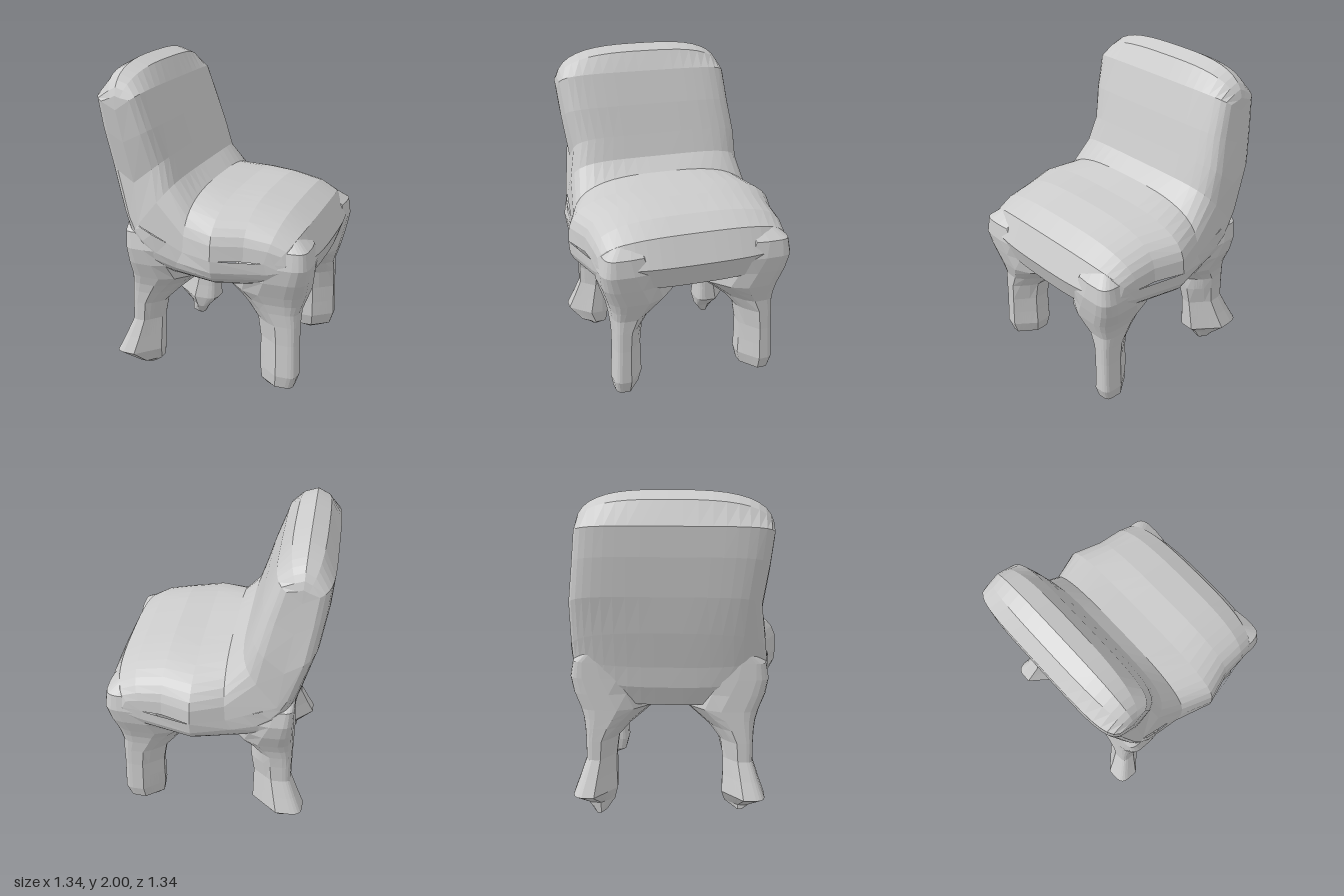
import * as THREE from 'three';

const material = new THREE.MeshStandardMaterial({ color: 0xcccccc, flatShading: true });
const power = (v, n) => Math.sign(v) * Math.pow(Math.abs(v), 2 / n);

// Joins a row of closed rings of [x, y, z] points; the end rings are already collapsed.
function skin(name, rings, flip) {
  const count = rings[0].length, index = [];
  const face = (a, b, c) => (flip ? index.push(a, c, b) : index.push(a, b, c));
  for (let i = 0; i < rings.length - 1; i++) {
    for (let j = 0; j < count; j++) {
      const a = i * count + j, b = i * count + ((j + 1) % count);
      face(a, b, a + count);
      face(b, b + count, a + count);
    }
  }
  let geometry = new THREE.BufferGeometry();
  geometry.setAttribute('position', new THREE.Float32BufferAttribute(rings.flat(2), 3));
  geometry.setIndex(index);
  geometry = geometry.toNonIndexed();
  geometry.computeVertexNormals();
  const mesh = new THREE.Mesh(geometry, material);
  mesh.name = name;
  return mesh;
}

// Seat and backrest: one L-shaped side profile that shrinks towards its centre line at both sides.
// Each row: profile x, y; centre-line x, y; reach towards +z and -z there.
const PROFILE = [
  [0.1, 0.69, 0.1, 0.93, 0.67, 0.67], [0.45, 0.715, 0.4, 0.93, 0.6, 0.6],
  [0.62, 0.79, 0.46, 0.93, 0.59, 0.59], [0.667, 0.93, 0.46, 0.93, 0.59, 0.59],
  [0.59, 1.095, 0.46, 0.93, 0.59, 0.59], [0.47, 1.17, 0.4, 0.93, 0.6, 0.6],
  [0.28, 1.215, 0.28, 0.93, 0.61, 0.61], [0.1, 1.222, 0.1, 0.93, 0.67, 0.67],
  [-0.08, 1.25, -0.1, 0.93, 0.6, 0.6], [-0.17, 1.33, -0.4, 1.05, 0.57, 0.58],
  [-0.215, 1.47, -0.43, 1.3, 0.535, 0.575], [-0.27, 1.65, -0.47, 1.55, 0.57, 0.545],
  [-0.34, 1.85, -0.5, 1.74, 0.59, 0.525], [-0.41, 1.965, -0.5, 1.74, 0.59, 0.525],
  [-0.51, 2.0, -0.5, 1.74, 0.59, 0.525], [-0.6, 1.955, -0.5, 1.74, 0.59, 0.525],
  [-0.668, 1.82, -0.5, 1.74, 0.59, 0.525], [-0.655, 1.65, -0.47, 1.55, 0.57, 0.545],
  [-0.62, 1.42, -0.43, 1.3, 0.535, 0.575], [-0.575, 1.2, -0.4, 1.05, 0.57, 0.58],
  [-0.52, 0.98, -0.37, 1.04, 0.58, 0.58], [-0.5, 0.85, -0.3, 1.01, 0.59, 0.59],
  [-0.45, 0.725, -0.2, 0.97, 0.59, 0.59], [-0.22, 0.695, -0.1, 0.93, 0.6, 0.6],
];

function createSeatAndBackrest() {
  const rings = [], steps = 22;
  for (let i = 0; i <= steps; i++) {
    const t = Math.sin((i / steps - 0.5) * Math.PI);
    rings.push(PROFILE.map(([x, y, cx, cy, zLeft, zRight]) => {
      // squarer edges on the backrest, rounder on the seat and top rail
      const n = y > 1.3 && y < 1.9 ? 5 : 3;
      const s = Math.pow(Math.max(0, 1 - Math.pow(Math.abs(t), n)), 1 / n);
      return [cx + (x - cx) * s, cy + (y - cy) * s, t * (t > 0 ? zLeft : zRight)];
    }));
  }
  return skin('seatAndBackrest', rings, false);
}

// Leg narrow across the diagonal, its top flaring into the arches under the seat.
// Each section: y, x0, x1, z0, z1, and how far the off-diagonal corners are trimmed.
function createLeg(name, sx, sz, { inner, outer, footX, footZ, base }) {
  const flare = sx > 0 ? 1 : 0;
  const sections = [
    [base, 0.42, 0.42, 0.42, 0.42, 1], [base + 0.02, 0.38, 0.48, 0.39, 0.45, 1],
    [0.09, 0.34, outer - 0.02, 0.34, 0.5, 1], [0.17, inner, footX, 0.32, footZ, 1],
    [0.27, inner, (outer + footX) / 2, 0.325, (0.505 + footZ) / 2, 1],
    [0.38, inner, outer, 0.325, 0.505, 1], [0.5, inner - 0.02, outer, 0.31, 0.505, 1.1],
    [0.58, 0.23, outer, 0.24, 0.51, 1.15], [0.64, 0.16, outer + 0.02 * flare, 0.16, 0.52, 1.2],
    [0.7, 0.08, outer + 0.04 * flare, 0.08, 0.54, 1.25],
    [0.8, 0.14, outer + 0.06 * flare, 0.14, 0.575, 1.35],
    [0.9, 0.22, outer + 0.075 * flare, 0.22, 0.59, 1.5],
    [1.0, 0.28, outer + 0.06 * flare, 0.28, 0.57, 1.5],
    [1.08, 0.3, outer - 0.04 * flare, 0.3, 0.48, 1.5], [1.08, 0.4, 0.4, 0.4, 0.4, 1],
  ];
  const sides = 24, n = 5;
  const rings = sections.map(([y, x0, x1, z0, z1, cut]) => Array.from({ length: sides }, (_, j) => {
    const angle = (j / sides) * Math.PI * 2;
    let u = power(Math.cos(angle), n), v = power(Math.sin(angle), n);
    const excess = Math.max(0, Math.abs(u - v) - cut) / 2 * Math.sign(u - v);
    u -= excess;
    v += excess;
    return [sx * (x0 + x1 + u * (x1 - x0)) / 2, y, sz * (z0 + z1 + v * (z1 - z0)) / 2];
  }));
  return skin(name, rings, sx * sz > 0);
}

export function createModel() {
  const chair = new THREE.Group();
  chair.name = 'chair';
  chair.add(createSeatAndBackrest());
  // straight front feet, knobbly rear feet
  const front = { inner: 0.33, outer: 0.577, footX: 0.583, footZ: 0.515, base: 0.04 };
  const rear = { outer: 0.5, footX: 0.59, footZ: 0.58 };
  chair.add(
    createLeg('frontLegNear', 1, 1, front),
    createLeg('frontLegFar', 1, -1, front),
    createLeg('rearLegNear', -1, 1, { ...rear, inner: 0.33, base: 0.04 }),
    createLeg('rearLegFar', -1, -1, { ...rear, inner: 0.26, base: 0 }),
  );
  return chair;
}
